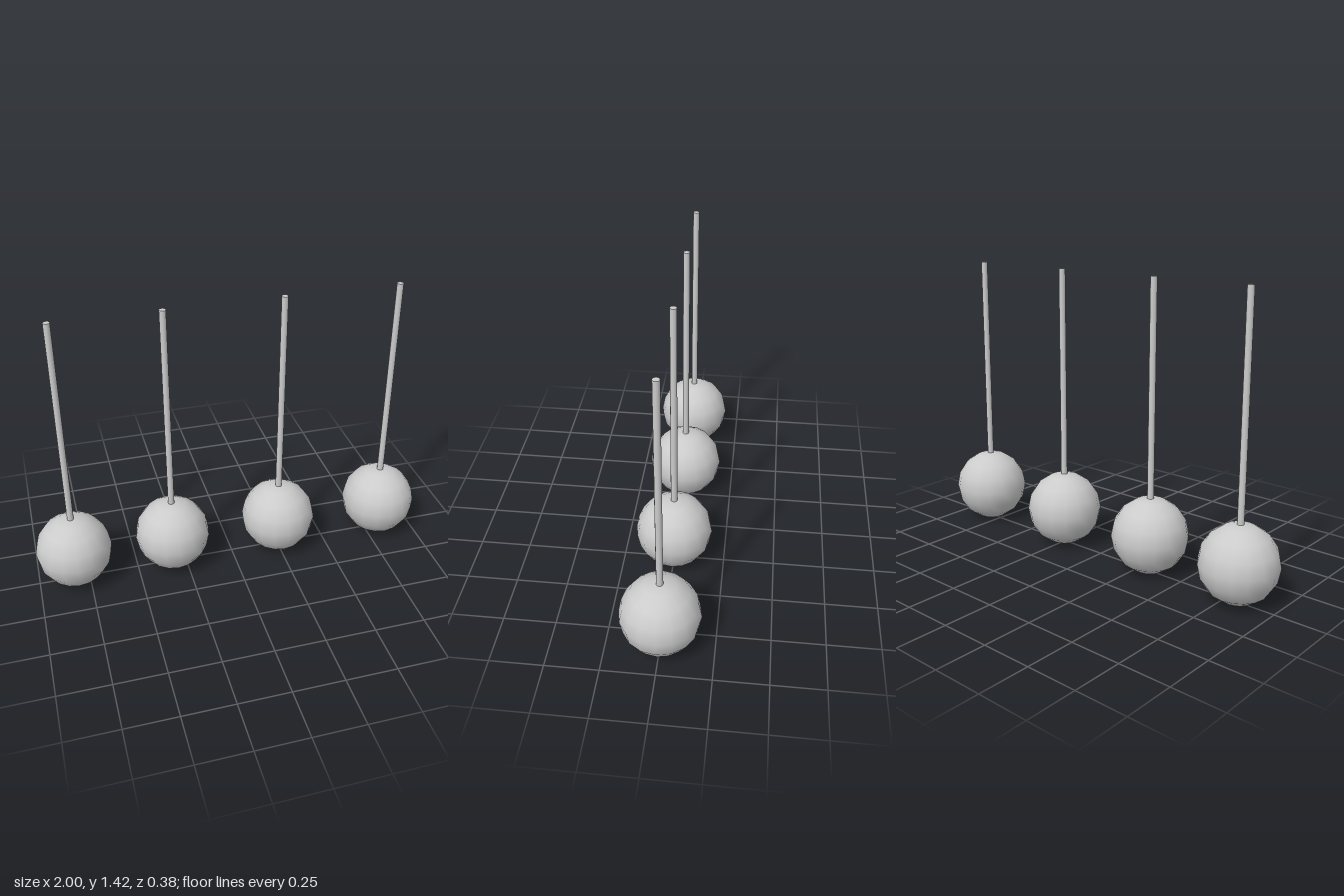
import * as THREE from 'three';

const BALL_RADIUS = 0.1875;
const ROD_RADIUS = 0.016;
const ROD_TOP = 1.415;
const ROD_BOTTOM = 0.35; // slightly sunk into the ball
const POSITIONS = [-0.8125, -0.3125, 0.25, 0.8125];

export function createModel() {
  const model = new THREE.Group();
  model.name = 'pendulums';
  const material = new THREE.MeshStandardMaterial({ color: 0xcccccc });

  const ballGeometry = new THREE.SphereGeometry(BALL_RADIUS, 16, 8);
  const rodLength = ROD_TOP - ROD_BOTTOM;
  const rodGeometry = new THREE.CylinderGeometry(ROD_RADIUS, ROD_RADIUS, rodLength, 12);

  // Four pendulums in a row, each a ball hanging from a thin rod
  POSITIONS.forEach((x, i) => {
    const pendulum = new THREE.Group();
    pendulum.name = `pendulum${i + 1}`;
    pendulum.position.x = x;

    const ball = new THREE.Mesh(ballGeometry, material);
    ball.name = 'ball';
    ball.position.y = BALL_RADIUS;

    const rod = new THREE.Mesh(rodGeometry, material);
    rod.name = 'rod';
    rod.position.y = ROD_BOTTOM + rodLength / 2;

    pendulum.add(ball, rod);
    model.add(pendulum);
  });

  return model;
}
